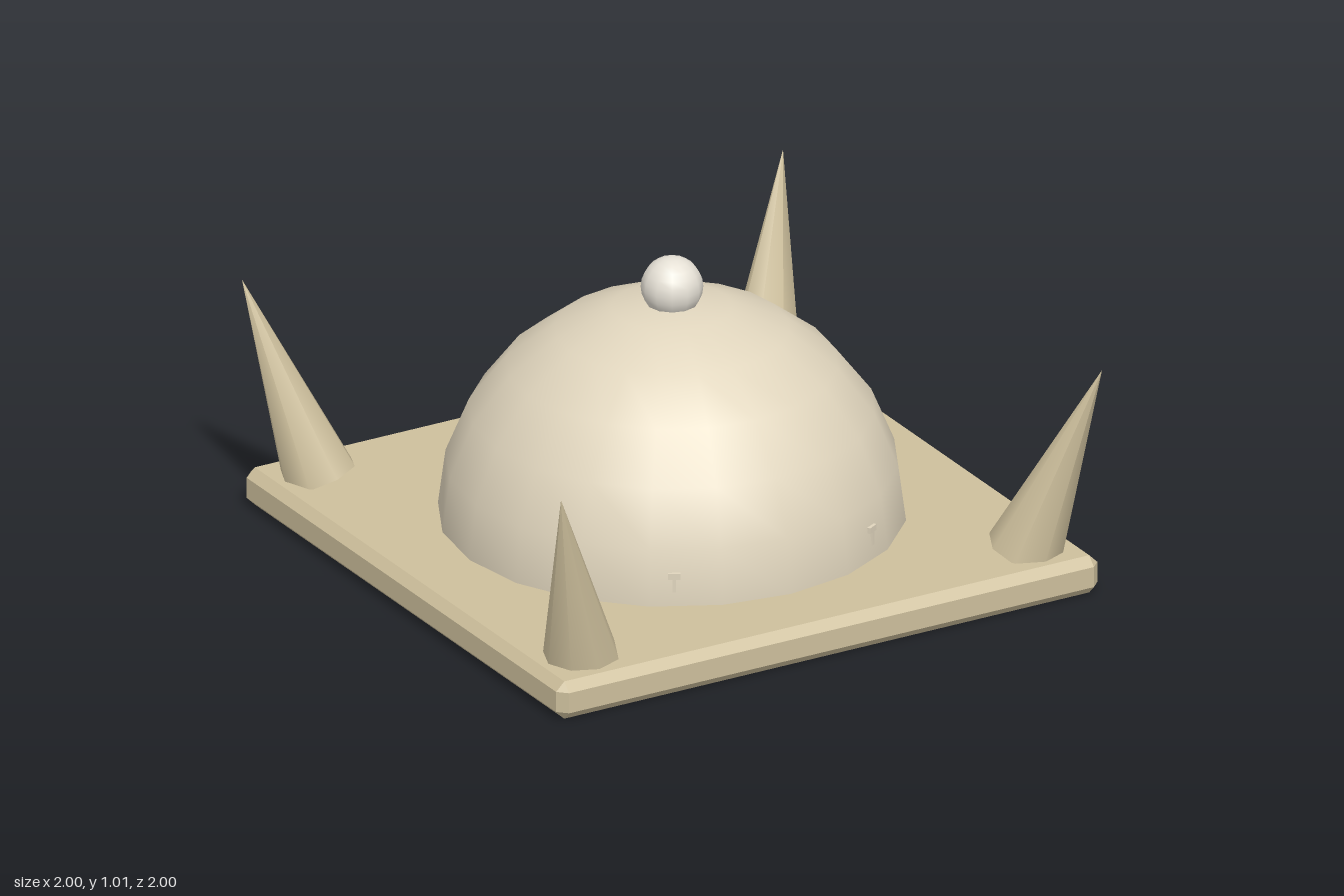
import * as THREE from 'three';
import { ConvexGeometry } from 'three/addons/geometries/ConvexGeometry.js';

const material = (color) => new THREE.MeshStandardMaterial({ color });
const tan = material(0xcdbf9c);
const cream = material(0xe0d5bd);
const pale = material(0xe6e1d6);

function part(name, geometry, mat, parent) {
  const mesh = new THREE.Mesh(geometry, mat);
  mesh.name = name;
  parent.add(mesh);
  return mesh;
}

// Box with every edge and corner cut at 45 degrees
function chamferedBox(w, h, d, c) {
  const points = [];
  for (const x of [-1, 1]) for (const y of [-1, 1]) for (const z of [-1, 1]) {
    for (let axis = 0; axis < 3; axis++) {
      const inset = [c, c, c];
      inset[axis] = 0;
      points.push(new THREE.Vector3(
        x * (w / 2 - inset[0]), y * (h / 2 - inset[1]), z * (d / 2 - inset[2])));
    }
  }
  return new ConvexGeometry(points);
}

export function createModel() {
  const model = new THREE.Group();
  model.name = 'spikedDome';

  // Square slab
  part('base', chamferedBox(2, 0.13, 2, 0.03), tan, model).position.y = 0.065;

  // Half-sphere resting in the slab
  const dome = part('dome',
    new THREE.SphereGeometry(0.75, 20, 6, 0, Math.PI * 2, 0, Math.PI / 2), cream, model);
  dome.position.y = 0.12;

  // Ball on top
  part('knob', new THREE.SphereGeometry(0.1, 12, 12), pale, model).position.y = 0.915;

  // Corner spikes leaning outwards along the diagonals
  const foot = new THREE.Vector2(0.82 * Math.SQRT2, 0.125);
  const tip = new THREE.Vector2(Math.SQRT2, 0.78);
  const length = foot.distanceTo(tip);
  const spikeGeometry = new THREE.ConeGeometry(0.125, length, 8);
  spikeGeometry.translate(0, length / 2, 0);
  for (let i = 0; i < 4; i++) {
    const corner = new THREE.Group();
    corner.name = 'cornerSpike';
    corner.rotation.y = Math.PI / 4 + i * Math.PI / 2;
    const spike = part('spike', spikeGeometry, tan, corner);
    spike.position.set(0, foot.y, foot.x);
    spike.rotation.x = Math.atan2(tip.x - foot.x, tip.y - foot.y);
    model.add(corner);
  }

  // Four tiny T-shaped studs, almost flush with the dome
  for (const x of [-1, 1]) for (const z of [-1, 1]) {
    const stud = new THREE.Group();
    stud.name = 'stud';
    stud.position.set(x * 0.363, 0.21, z * 0.63);
    stud.rotation.y = Math.atan2(x * 0.363, z * 0.63);
    part('studHead', new THREE.BoxGeometry(0.04, 0.02, 0.02), cream, stud).position.y = 0.02;
    part('studStem', new THREE.BoxGeometry(0.012, 0.05, 0.02), cream, stud).position.y = -0.01;
    model.add(stud);
  }

  return model;
}
